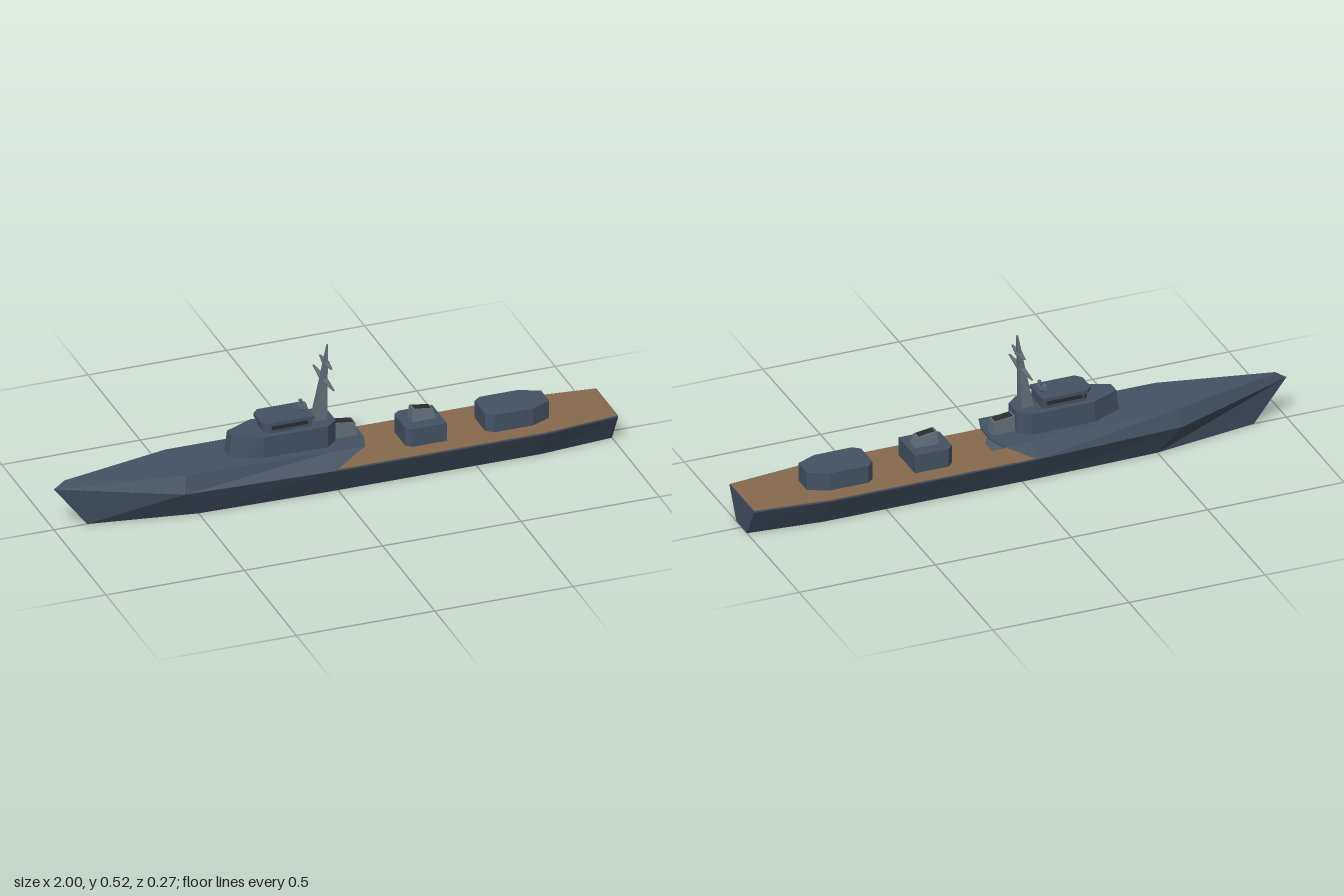
import * as THREE from 'three';

const material = (color) => new THREE.MeshStandardMaterial({ color, flatShading: true });
const steel = material(0x435262);
const light = material(0x616d77);
const wood = material(0x876a4d);
const dark = material(0x2c2c2e);

// Skin a closed solid through rings of [x, y, z] points, with flat end caps.
function loft(name, mat, rings) {
  const pos = [];
  const tri = (a, b, c) => pos.push(...a, ...b, ...c);
  const n = rings[0].length;
  for (let r = 0; r < rings.length - 1; r++) {
    for (let i = 0; i < n; i++) {
      const j = (i + 1) % n;
      tri(rings[r][i], rings[r][j], rings[r + 1][j]);
      tri(rings[r][i], rings[r + 1][j], rings[r + 1][i]);
    }
  }
  const last = rings[rings.length - 1];
  for (let i = 1; i < n - 1; i++) {
    tri(rings[0][0], rings[0][i + 1], rings[0][i]);
    tri(last[0], last[i], last[i + 1]);
  }
  // Turn the faces outward if the enclosed volume comes out negative.
  let volume = 0;
  const [a, b, c] = [0, 1, 2].map(() => new THREE.Vector3());
  for (let i = 0; i < pos.length; i += 9) {
    a.fromArray(pos, i); b.fromArray(pos, i + 3); c.fromArray(pos, i + 6);
    volume += a.dot(b.cross(c));
  }
  if (volume < 0) {
    for (let i = 0; i < pos.length; i += 9) {
      for (let k = 3; k < 6; k++) [pos[i + k], pos[i + k + 3]] = [pos[i + k + 3], pos[i + k]];
    }
  }
  const geo = new THREE.BufferGeometry();
  geo.setAttribute('position', new THREE.Float32BufferAttribute(pos, 3));
  geo.computeVertexNormals();
  const mesh = new THREE.Mesh(geo, mat);
  mesh.name = name;
  return mesh;
}

// Mirror a half outline of [x, z] points into a level ring.
const level = (half, y) => [
  ...half.map(([x, z]) => [x, y, z]),
  ...half.slice().reverse().map(([x, z]) => [x, y, -z]),
];
const prism = (name, mat, half, y0, y1, topHalf = half) =>
  loft(name, mat, [level(half, y0), level(topHalf, y1)]);

// Hull station: [x, y, half width] of the lower and the upper edge.
const station = ([x0, y0, w0], [x1, y1, w1]) =>
  [[x0, y0, w0], [x1, y1, w1], [x1, y1, -w1], [x0, y0, -w0]];

function box(name, mat, size, at) {
  const mesh = new THREE.Mesh(new THREE.BoxGeometry(...size), mat);
  mesh.position.set(...at);
  mesh.name = name;
  return mesh;
}

// Raked funnel with a sloping top and a dark opening.
function funnel(x0, x1, y0, y1, w) {
  const group = new THREE.Group();
  group.name = 'funnel';
  const t0 = x0 + 0.004, t1 = x1 - 0.012, tw = w * 0.72;
  group.add(loft('funnelCasing', light, [
    [[x0, y0, w], [x1, y0, w], [x1, y0, -w], [x0, y0, -w]],
    [[t0, y1, tw], [t1, y1 - 0.01, tw], [t1, y1 - 0.01, -tw], [t0, y1, -tw]],
  ]));
  const i0 = t0 + 0.008, i1 = t1 - 0.006, iw = tw * 0.75;
  const opening = (dy) => [[i0, y1 + dy, iw], [i1, y1 - 0.008 + dy, iw],
    [i1, y1 - 0.008 + dy, -iw], [i0, y1 + dy, -iw]];
  group.add(loft('funnelOpening', dark, [opening(-0.008), opening(0.001)]));
  return group;
}

export function createModel() {
  const ship = new THREE.Group();
  ship.name = 'ship';

  // Lower hull, pointed bow at -x and transom at +x
  ship.add(loft('hull', steel, [
    station([-0.88, 0, 0.001], [-1, 0.155, 0.001]),
    station([-0.5, 0, 0.062], [-0.57, 0.112, 0.116]),
    station([-0.03, 0, 0.072], [-0.03, 0.11, 0.134]),
    station([0.73, 0, 0.072], [0.73, 0.11, 0.136]),
    station([1, 0, 0.046], [1, 0.11, 0.106]),
  ]));

  // Raised forecastle
  ship.add(loft('forecastle', steel, [
    station([-1, 0.154, 0.001], [-0.96, 0.18, 0.004]),
    station([-0.57, 0.111, 0.116], [-0.56, 0.175, 0.1]),
    station([-0.03, 0.109, 0.134], [-0.03, 0.171, 0.106]),
  ]));

  // Overhang behind the forecastle and its triangular side plates
  ship.add(prism('overhang', steel, [[-0.03, 0.106], [0.085, 0.106], [0.105, 0.04]], 0.165, 0.171));
  for (const s of [1, -1]) {
    const plate = (d) => [[-0.03, 0.11, s * (0.134 - d)], [-0.03, 0.17, s * (0.106 - d)],
      [0.085, 0.17, s * (0.106 - d)]];
    ship.add(loft('sidePlate', steel, [plate(0), plate(0.004)]));
  }

  // Wooden quarterdeck with a steel edge strip
  const deckEdge = [[-0.03, 0.134], [0.03, 0.136], [0.73, 0.136], [1, 0.106]];
  ship.add(prism('deckEdge', steel, deckEdge, 0.108, 0.113));
  ship.add(prism('quarterdeck', wood,
    deckEdge.map(([x, z]) => [x === 1 ? 0.997 : x, z - 0.003]), 0.11, 0.1145));

  // Superstructure and bridge
  ship.add(prism('superstructure', steel,
    [[-0.385, 0.025], [-0.275, 0.071], [-0.035, 0.071], [0.005, 0.035]], 0.11, 0.25,
    [[-0.366, 0.022], [-0.265, 0.07], [-0.035, 0.07], [0.005, 0.035]]));
  ship.add(prism('bridge', steel, [[-0.255, 0.03], [-0.235, 0.05], [-0.085, 0.05]], 0.25, 0.282));
  ship.add(prism('bridgeRoof', steel, [[-0.266, 0.035], [-0.245, 0.057], [-0.08, 0.057]], 0.281, 0.292));
  for (const s of [1, -1]) {
    ship.add(box('bridgeWindow', dark, [0.13, 0.014, 0.002], [-0.165, 0.269, s * 0.0502]));
  }

  // Gun director on the bridge roof
  const director = new THREE.Group();
  director.name = 'director';
  director.add(
    box('directorPost', steel, [0.016, 0.03, 0.016], [-0.102, 0.303, 0]),
    box('directorHead', light, [0.026, 0.014, 0.024], [-0.102, 0.308, 0]),
  );
  for (const s of [1, -1]) {
    director.add(box('directorArm', light, [0.01, 0.018, 0.012], [-0.102, 0.313, s * 0.019]));
  }
  ship.add(director);

  // Raked mast: height, fore x, aft x, half width
  const mast = [
    [0.245, -0.066, -0.02, 0.021], [0.4, -0.036, -0.015, 0.011],
    [0.46, -0.025, -0.012, 0.01], [0.525, -0.014, -0.009, 0.002],
  ];
  ship.add(loft('mast', light, mast.map(([y, f, a, w]) => level([[f, w], [a, w]], y))));

  // Tapered yards across the mast
  for (const [y, x, half] of [[0.398, -0.025, 0.1], [0.457, -0.017, 0.057]]) {
    const tip = (z, w, h) => [[x - w, y + 0.002, z], [x + w, y + 0.002, z],
      [x + w, y - h, z], [x - w, y - h, z]];
    ship.add(loft('yard', light, [
      tip(-half, 0.003, 0), tip(0, 0.012, 0.006), tip(half, 0.003, 0),
    ]));
  }

  // Deckhouses and funnels
  ship.add(funnel(0, 0.094, 0.112, 0.228, 0.027));
  ship.add(prism('midDeckhouse', steel, [[0.25, 0.052], [0.27, 0.071], [0.394, 0.071]], 0.112, 0.182));
  ship.add(funnel(0.286, 0.374, 0.18, 0.228, 0.024));
  ship.add(prism('aftDeckhouse', steel,
    [[0.54, 0.05], [0.565, 0.071], [0.705, 0.071], [0.776, 0.038]], 0.112, 0.18));

  return ship;
}
